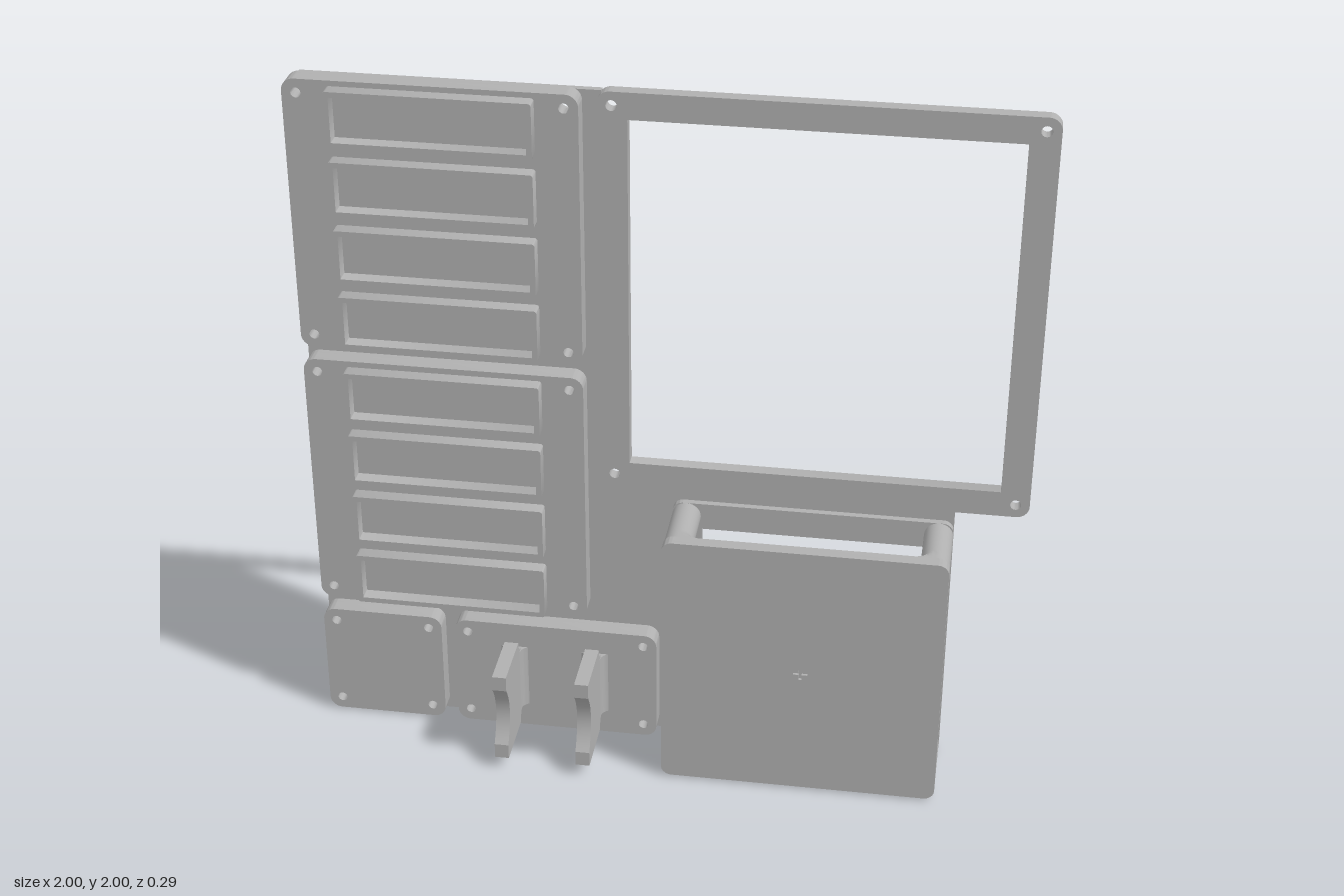
import * as THREE from 'three';
import { toCreasedNormals } from 'three/addons/utils/BufferGeometryUtils.js';

const grey = new THREE.MeshStandardMaterial({ color: 0xb0b0b0 });
grey.name = 'plain grey';

// Rounded rectangle from its limits
function rect(x0, x1, y0, y1, r = 0.001, Kind = THREE.Shape) {
  const s = new Kind();
  s.moveTo(x0 + r, y0);
  s.lineTo(x1 - r, y0);
  s.absarc(x1 - r, y0 + r, r, -Math.PI / 2, 0, false);
  s.lineTo(x1, y1 - r);
  s.absarc(x1 - r, y1 - r, r, 0, Math.PI / 2, false);
  s.lineTo(x0 + r, y1);
  s.absarc(x0 + r, y1 - r, r, Math.PI / 2, Math.PI, false);
  s.lineTo(x0, y0 + r);
  s.absarc(x0 + r, y0 + r, r, Math.PI, Math.PI * 1.5, false);
  return s;
}
const poly = (pts, Kind = THREE.Shape) => new Kind(pts.map(([x, y]) => new THREE.Vector2(x, y)));
const circle = (x, y, r) => new THREE.Path().absarc(x, y, r, 0, Math.PI * 2, true);
const cornerHoles = ([x0, x1, y0, y1], r, inset = 0.038) =>
  [x0 + inset, x1 - inset].flatMap(x => [y0 + inset, y1 - inset].map(y => circle(x, y, r)));
const window4 = w => rect(...w, 0.001, THREE.Path);

export function createModel() {
  const model = new THREE.Group();
  const BACK = -0.145, BASE = -0.126, MID = -0.108, FACE = -0.07;

  function add(name, geometry) {
    const mesh = new THREE.Mesh(toCreasedNormals(geometry, 0.6), grey);
    mesh.name = name;
    model.add(mesh);
    return mesh;
  }
  function slab(name, shape, holes, z0, z1) {
    shape.holes = holes;
    const g = new THREE.ExtrudeGeometry(shape, { depth: z1 - z0, bevelEnabled: false, curveSegments: 8 });
    g.translate(0, 0, z0);
    return add(name, g);
  }

  // Panels: outer limits and the pocket cut in from behind
  const panels = [
    { name: 'upperPanel', box: [-1, -0.22, 1.22, 2], pocket: [-0.92, -0.29, 1.31, 1.92] },
    { name: 'middlePanel', box: [-1, -0.22, 0.4, 1.18], pocket: [-0.92, -0.29, 0.49, 1.1] },
    { name: 'smallPanel', box: [-1, -0.65, 0.005, 0.355], pocket: [-0.92, -0.73, 0.08, 0.28] },
    { name: 'clipPanel', box: [-0.61, -0.02, 0.005, 0.355], pocket: [-0.54, -0.09, 0.08, 0.28] },
  ];
  const bin = [0.02, 0.8, 0.005, 0.79], binWindow = [0.1, 0.72, 0.085, 0.71];

  // Thin backing sheet that joins all the panels
  const baseHoles = panels.flatMap(p => [window4(p.pocket), ...cornerHoles(p.box, 0.026)]);
  baseHoles.push(window4(binWindow), ...cornerHoles(bin, 0.026));
  slab('backingSheet', poly([[-0.985, 0], [0.785, 0], [0.8, 0.015], [0.8, 0.84], [-0.17, 0.84],
    [-0.17, 1.995], [-0.97, 1.995], [-1, 1.965], [-1, 0.015]]), baseHoles, BACK, BASE);

  for (const p of panels) {
    slab(p.name + 'Rim', rect(...p.box, 0.035), [window4(p.pocket), ...cornerHoles(p.box, 0.026)], BASE, MID);
    slab(p.name, rect(...p.box, 0.035), cornerHoles(p.box, 0.014), MID, FACE);
  }

  // Raised label frames, four per large panel
  for (const y of [1.907, 1.085]) {
    for (let i = 0; i < 4; i++) {
      const c = y - i * 0.1965;
      slab('labelFrame', rect(-0.88, -0.335, c - 0.078, c + 0.078, 0.008),
        [window4([-0.865, -0.35, c - 0.063, c + 0.063])], FACE, -0.03);
    }
  }

  // Large open frame
  const frame = [-0.18, 1, 0.83, 2];
  slab('openFrame', rect(...frame, 0.035),
    [window4([-0.1, 0.92, 0.905, 1.925]), ...cornerHoles(frame, 0.015)], BACK, MID);

  // Open-sided bin: back rim, front plate with a shallow cross
  slab('binBack', rect(...bin, 0.03), [window4(binWindow)], BASE, MID);
  slab('binFront', rect(...bin, 0.03), [], 0.068, 0.097);
  const a = 0.004, b = 0.02;
  const cross = [[a, a], [a, b], [-a, b], [-a, a], [-b, a], [-b, -a], [-a, -a], [-a, -b], [a, -b], [a, -a], [b, -a], [b, a]];
  slab('binFrontFace', rect(...bin, 0.03),
    [poly(cross.map(([x, y]) => [x + 0.41, y + 0.397]), THREE.Path)], 0.097, 0.105);

  // Bin posts flare inward where they meet the front plate
  const R = 0.04;
  const profile = [new THREE.Vector2(R, MID - 0.01), new THREE.Vector2(R, 0.028)];
  for (let i = 1; i <= 6; i++) {
    const t = i / 6 * Math.PI / 2;
    profile.push(new THREE.Vector2(R + 0.042 * (1 - Math.cos(t)), 0.028 + 0.042 * Math.sin(t)));
  }
  for (const sx of [-1, 1]) for (const sy of [-1, 1]) {
    const g = new THREE.LatheGeometry(profile, 32);
    g.rotateX(Math.PI / 2);
    // lathe axis now runs along z; hold the outer sides flush with the bin
    const pos = g.attributes.position;
    for (let i = 0; i < pos.count; i++) {
      let x = pos.getX(i), y = pos.getY(i);
      const r = Math.hypot(x, y);
      if (x * sx >= 0 && y * sy >= 0) { x *= R / r; y *= R / r; }
      else if (x * sx > 0) x = sx * Math.min(R, Math.abs(x));
      else if (y * sy > 0) y = sy * Math.min(R, Math.abs(y));
      pos.setXY(i, x, y);
    }
    g.translate(sx > 0 ? bin[1] - R : bin[0] + R, sy > 0 ? bin[3] - R : bin[2] + R, 0);
    add('binPost', g);
  }

  // Cradle clips: side profile drawn as (z, y), extruded across x
  const side = new THREE.Shape();
  side.moveTo(-0.075, 0.08);
  side.quadraticCurveTo(-0.032, 0.08, -0.03, 0.04);
  side.lineTo(0.145, 0.04);
  side.lineTo(0.145, 0.085);
  side.quadraticCurveTo(0.072, 0.18, 0.145, 0.275);
  side.lineTo(0.145, 0.32);
  side.lineTo(-0.03, 0.32);
  side.quadraticCurveTo(-0.032, 0.28, -0.075, 0.28);
  // Concave foot drawn as (x, -z), extruded along y
  const foot = new THREE.Shape();
  foot.moveTo(-0.045, 0.072);
  foot.lineTo(0.045, 0.072);
  foot.quadraticCurveTo(0.02, 0.066, 0.02, 0.035);
  foot.lineTo(-0.02, 0.035);
  foot.quadraticCurveTo(-0.02, 0.066, -0.045, 0.072);
  for (const x of [-0.435, -0.2]) {
    const g = new THREE.ExtrudeGeometry(side, { depth: 0.04, bevelEnabled: false, curveSegments: 12 });
    g.rotateY(-Math.PI / 2);
    g.translate(x + 0.02, 0, 0);
    add('cradleClip', g);
    const f = new THREE.ExtrudeGeometry(foot, { depth: 0.2, bevelEnabled: false, curveSegments: 8 });
    f.rotateX(-Math.PI / 2);
    f.translate(x, 0.08, 0);
    add('clipFoot', f);
  }
  return model;
}
